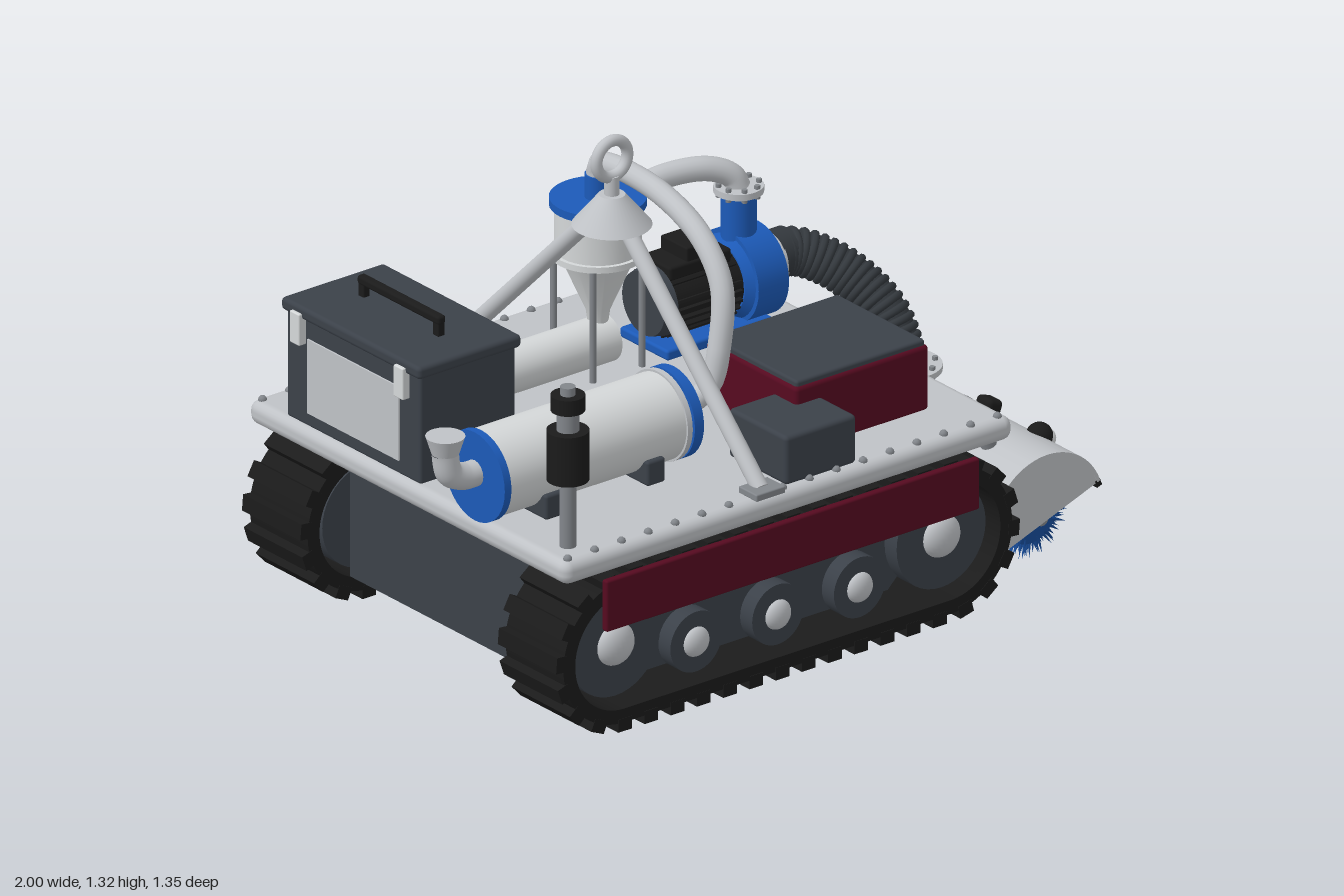
import * as THREE from 'three';
import { mergeGeometries, toCreasedNormals } from 'three/addons/utils/BufferGeometryUtils.js';
import { RoundedBoxGeometry } from 'three/addons/geometries/RoundedBoxGeometry.js';

const mat = (name, color) => Object.assign(new THREE.MeshStandardMaterial({ color }), { name });
const V = (x, y, z) => new THREE.Vector3(x, y, z);
const PI = Math.PI;

export function createModel() {
  const root = new THREE.Group();
  root.name = 'trackedCleaningRobot';
  const silver = mat('silver', 0xbfc2c6), pale = mat('paleMetal', 0xd4d7d8), steel = mat('steelGrey', 0x82868b);
  const slate = mat('slate', 0x3b4149), rubber = mat('hoseRubber', 0x33383d), black = mat('black', 0x1b1b1b);
  const red = mat('darkRed', 0x560a20), blue = mat('blue', 0x1c5ab8), bristleBlue = mat('bristleBlue', 0x174c9a);

  const add = (name, geo, m, x = 0, y = 0, z = 0, parent = root) => {
    const mesh = new THREE.Mesh(geo, m);
    mesh.name = name;
    mesh.position.set(x, y, z);
    parent.add(mesh);
    return mesh;
  };
  // box given by its limits
  const box = (name, m, x0, x1, y0, y1, z0, z1, r = 0.008, parent = root) =>
    add(name, r ? new RoundedBoxGeometry(x1 - x0, y1 - y0, z1 - z0, 2, r) : new THREE.BoxGeometry(x1 - x0, y1 - y0, z1 - z0),
      m, (x0 + x1) / 2, (y0 + y1) / 2, (z0 + z1) / 2, parent);
  const cyl = (name, m, r0, r1, h, x, y, z, axis = 'y', parent = root) => {
    const g = new THREE.CylinderGeometry(r1, r0, h, 40);
    if (axis === 'x') g.rotateZ(-PI / 2);
    if (axis === 'z') g.rotateX(PI / 2);
    return add(name, g, m, x, y, z, parent);
  };
  const tube = (name, m, r, pts) =>
    add(name, new THREE.TubeGeometry(new THREE.CatmullRomCurve3(pts), 48, r, 16), m);
  const rod = (name, m, r, a, b) => {
    const mesh = cyl(name, m, r, r, a.distanceTo(b), 0, 0, 0);
    mesh.position.copy(a).lerp(b, 0.5);
    mesh.quaternion.setFromUnitVectors(V(0, 1, 0), b.clone().sub(a).normalize());
  };
  // disc flange with n bolts
  const flange = (name, m, r, t, n, x, y, z, axis = 'y') => {
    const g = new THREE.Group();
    g.name = name;
    cyl(name + 'Disc', m, r, r, t, 0, 0, 0, 'y', g);
    for (let i = 0; i < n; i++) {
      const a = (i + 0.5) / n * 2 * PI;
      add(name + 'Bolt', new THREE.CylinderGeometry(0.008, 0.008, t + 0.02, 6), steel,
        Math.cos(a) * r * 0.83, 0, Math.sin(a) * r * 0.83, g);
    }
    if (axis === 'x') g.rotation.z = -PI / 2;
    g.position.set(x, y, z);
    root.add(g);
  };
  const extrude = (shape, depth) => toCreasedNormals(
    new THREE.ExtrudeGeometry(shape, { depth, bevelEnabled: false, curveSegments: 32 }).translate(0, 0, -depth / 2), 0.6);

  // hull and deck
  box('hull', slate, -0.7, 0.56, 0.075, 0.47, -0.415, 0.415, 0);
  box('deck', silver, -0.845, 0.64, 0.465, 0.532, -0.66, 0.66, 0.028);
  for (const s of [-1, 1]) for (let i = 0; i < 17; i++)
    add('deckBolt', new THREE.SphereGeometry(0.012, 10, 6), steel, -0.815 + i * 0.0887, 0.532, s * 0.632);

  // tracks
  const XA = -0.64, XB = 0.436, YC = 0.228;
  const stadium = (T, r) => {
    const p = new T();
    p.absarc(XB, YC, r, -PI / 2, PI / 2, false);
    p.absarc(XA, YC, r, PI / 2, PI * 1.5, false);
    p.closePath();
    return p;
  };
  const band = stadium(THREE.Shape, 0.203);
  band.holes.push(stadium(THREE.Path, 0.164));
  const bandGeo = extrude(band, 0.24);
  const L = XB - XA, R = 0.209, perimeter = 2 * L + 2 * PI * R, lugs = [], COUNT = 40;
  for (let i = 0; i < COUNT; i++) {
    let d = i / COUNT * perimeter, x, y, a;
    if (d < L) { x = XA + d; y = YC - R; a = 0; }
    else if (d < L + PI * R) { a = (d - L) / R; x = XB + R * Math.sin(a); y = YC - R * Math.cos(a); }
    else if (d < 2 * L + PI * R) { x = XB - (d - L - PI * R); y = YC + R; a = PI; }
    else { a = PI + (d - 2 * L - PI * R) / R; x = XA + R * Math.sin(a); y = YC - R * Math.cos(a); }
    lugs.push(new THREE.BoxGeometry(0.045, 0.036, 0.242).rotateZ(a).translate(x, y, 0));
  }
  const lugGeo = mergeGeometries(lugs);
  const frame = new THREE.Shape([[-0.62, 0.38], [0.4, 0.38], [0.4, 0.2], [0.3, 0.1], [-0.5, 0.1], [-0.62, 0.2]]
    .map(p => new THREE.Vector2(...p)));
  for (const s of [-1, 1]) {
    const g = new THREE.Group();
    g.name = s > 0 ? 'leftTrack' : 'rightTrack';
    root.add(g);
    add('trackBand', bandGeo, black, 0, 0, s * 0.53, g);
    add('trackLugs', lugGeo, black, 0, 0, s * 0.53, g);
    add('trackFrame', extrude(frame, 0.14), slate, 0, 0, s * 0.49, g);
    const wheels = [[XA, YC + 0.005, 0.147, 0.06], [XB, YC + 0.005, 0.147, 0.06],
      ...[-0.373, -0.103, 0.167].map(x => [x, 0.163, 0.085, 0.042])];
    for (const [x, y, r, hub] of wheels) {
      cyl('wheel', slate, r, r, 0.19, x, y, s * 0.515, 'z', g);
      add('wheelHub', new THREE.SphereGeometry(hub, 24, 16), silver, x, y, s * 0.607, g).scale.z = 0.6;
    }
    box('sidePanel', red, -0.72, 0.512, 0.31, 0.455, s * 0.665 - 0.011, s * 0.665 + 0.011, 0.006);
  }

  // brush: core and radial bristles
  const BX = 0.82, BY = 0.147;
  cyl('brushCore', bristleBlue, 0.085, 0.085, 1.0, BX, BY, 0, 'z');
  cyl('brushAxle', steel, 0.018, 0.018, 1.1, BX, BY, 0, 'z');
  let seed = 7;
  const rnd = () => (seed = (seed * 16807) % 2147483647) / 2147483647;
  const bristles = [];
  for (let i = 0; i < 4600; i++) {
    const len = 0.052 + rnd() * 0.008, a = rnd() * 2 * PI;
    bristles.push(new THREE.ConeGeometry(0.007, len, 4, 1, true).rotateX((rnd() - 0.5) * 0.5)
      .translate(0, 0.068 + len / 2, 0).rotateZ(a).translate(0, 0, (rnd() - 0.5) * 1.01));
  }
  add('brushBristles', mergeGeometries(bristles), bristleBlue, BX, BY - 0.004, 0);

  // brush hood, tilted half cylinder with closed ends
  const hood = new THREE.Group();
  hood.name = 'brushHood';
  hood.position.set(0.823, 0.15, 0);
  hood.rotation.z = 0.35;
  root.add(hood);
  const arc = new THREE.Shape();
  arc.absarc(0, 0, 0.186, 0, PI, false);
  arc.absarc(0, 0, 0.176, PI, 0, true);
  add('hoodShell', extrude(arc, 1.13), silver, 0, 0, 0, hood);
  const half = new THREE.Shape();
  half.absarc(0, 0, 0.184, 0, PI, false);
  for (const s of [-1, 1]) add('hoodEnd', extrude(half, 0.014), silver, 0, 0, s * 0.557, hood);
  box('hoodRubberLip', black, 0.17, 0.187, -0.014, 0.006, -0.565, 0.565, 0, hood);
  for (const s of [-1, 1]) {
    tube('hoodArm', steel, 0.022, [V(0.58, 0.49, s * 0.4), V(0.66, 0.475, s * 0.4), V(0.73, 0.41, s * 0.4), V(0.765, 0.31, s * 0.4)]);
    box('hoodNut', black, 0.86, 0.912, 0.31, 0.365, s * 0.24 - 0.03, s * 0.24 + 0.03, 0.014).rotation.z = -0.36;
    add('lampCover', new THREE.SphereGeometry(0.036, 20, 12), black, 0.928, 0.302, s * 0.4);
    add('lampLens', new THREE.SphereGeometry(0.028, 20, 12), pale, 0.948, 0.289, s * 0.4);
  }

  // suction hose between hood and pump
  cyl('hoseNeck', silver, 0.075, 0.075, 0.06, 0.8, 0.35, 0);
  flange('hoodFlange', silver, 0.1, 0.016, 8, 0.8, 0.392, 0);
  const hosePath = new THREE.CatmullRomCurve3([V(0.56, 0.68, -0.262), V(0.64, 0.675, -0.25), V(0.73, 0.625, -0.17), V(0.785, 0.53, -0.06), V(0.8, 0.395, 0.005)]);
  cyl('hoseCoupling', rubber, 0.066, 0.066, 0.05, 0.593, 0.68, -0.261, 'x');
  add('hose', new THREE.TubeGeometry(hosePath, 48, 0.056, 20), rubber);
  const rings = [];
  for (let i = 1; i < 22; i++) {
    const q = new THREE.Quaternion().setFromUnitVectors(V(0, 0, 1), hosePath.getTangentAt(i / 22));
    const p = hosePath.getPointAt(i / 22);
    rings.push(new THREE.TorusGeometry(0.055, 0.011, 8, 24).applyQuaternion(q).translate(p.x, p.y, p.z));
  }
  add('hoseRibs', mergeGeometries(rings), rubber);

  // pump and motor
  const PZ = -0.265, PY = 0.66;
  box('pumpBase', blue, 0.15, 0.5, 0.53, 0.56, PZ - 0.1, PZ + 0.1);
  cyl('pumpVolute', blue, 0.127, 0.127, 0.1, 0.48, PY, PZ, 'x');
  cyl('pumpFrontCover', blue, 0.115, 0.095, 0.02, 0.54, PY, PZ, 'x');
  cyl('pumpBackCover', blue, 0.095, 0.115, 0.02, 0.42, PY, PZ, 'x');
  cyl('pumpOutlet', blue, 0.047, 0.047, 0.16, 0.465, 0.81, PZ);
  flange('pumpInletFlange', silver, 0.075, 0.022, 8, 0.56, PY + 0.01, PZ, 'x');
  flange('pumpOutletFlange', silver, 0.066, 0.018, 8, 0.465, 0.9, PZ);
  cyl('motor', black, 0.09, 0.09, 0.24, 0.295, PY, PZ, 'x');
  for (let i = 0; i < 24; i++) {
    const fin = add('motorFin', new THREE.BoxGeometry(0.21, 0.02, 0.008).translate(0, 0.093, 0), black, 0.295, PY, PZ);
    fin.rotation.x = i / 24 * 2 * PI;
  }
  cyl('motorFanCover', slate, 0.088, 0.097, 0.04, 0.17, PY, PZ, 'x');
  box('motorTerminalBox', black, 0.19, 0.395, 0.73, 0.77, PZ - 0.06, PZ + 0.06);
  box('motorTerminalLid', black, 0.25, 0.345, 0.765, 0.808, PZ - 0.055, PZ + 0.055, 0.005);
  tube('pumpPipe', silver, 0.033, [V(0.465, 0.9, PZ), V(0.45, 0.935, -0.275), V(0.39, 0.963, -0.3), V(0.28, 0.962, -0.335), V(0.148, 0.935, -0.352)]);
  rod('pumpPipeEnd', silver, 0.033, V(0.144, 0.934, -0.353), V(0.16, 0.938, -0.351));

  // cyclone separator with its inlet, legs and collector
  const profile = [[0.025, 0.64], [0.032, 0.69], [0.1, 0.845], [0.125, 0.845], [0.125, 0.862], [0.114, 0.862], [0.114, 0.985]];
  const cone = new THREE.LatheGeometry(profile.map(p => new THREE.Vector2(...p)), 40);
  add('cycloneBody', toCreasedNormals(cone, 0.5), pale, 0, 0, PZ);
  cyl('cycloneInlet', pale, 0.032, 0.032, 0.1, 0.05, 0.925, -0.35, 'x');
  flange('cycloneInletFlange', silver, 0.047, 0.014, 6, 0.105, 0.925, -0.35, 'x');
  flange('cycloneCap', blue, 0.127, 0.022, 0, 0, 0.998, PZ);
  cyl('cycloneNozzle', blue, 0.035, 0.035, 0.075, 0, 1.037, PZ);
  for (let i = 0; i < 4; i++) {
    const a = PI / 4 + i * PI / 2, x = Math.cos(a) * 0.115, z = PZ + Math.sin(a) * 0.115;
    rod('cycloneLeg', steel, 0.009, V(x, 0.53, z), V(x, 0.85, z));
  }
  cyl('collector', pale, 0.064, 0.064, 0.53, -0.235, 0.6, PZ, 'x');
  flange('collectorFlange', silver, 0.07, 0.02, 8, -0.485, 0.6, PZ, 'x');

  // tank with funnel and return pipe
  const TY = 0.655, TZ = 0.292;
  cyl('tank', pale, 0.119, 0.119, 0.6, -0.53, TY, TZ, 'x');
  flange('tankRearFlange', blue, 0.125, 0.022, 0, -0.84, TY, TZ, 'x');
  flange('tankInnerFlange', silver, 0.125, 0.016, 12, -0.238, TY, TZ, 'x');
  flange('tankFrontFlange', blue, 0.125, 0.03, 0, -0.208, TY, TZ, 'x');
  for (const x of [-0.68, -0.345]) box('tankSaddle', slate, x - 0.03, x + 0.03, 0.53, 0.6, TZ - 0.12, TZ + 0.12);
  tube('drainPipe', silver, 0.036, [V(-0.84, 0.665, TZ), V(-0.89, 0.667, TZ), V(-0.935, 0.69, TZ), V(-0.95, 0.755, TZ)]);
  cyl('drainFunnel', silver, 0.036, 0.052, 0.05, -0.948, 0.773, TZ);
  tube('returnPipe', silver, 0.031, [V(0, 1.06, PZ), V(0, 1.1, -0.26), V(0, 1.118, -0.2), V(0, 1.11, 0), V(-0.01, 1.05, 0.18),
    V(-0.025, 0.95, 0.28), V(-0.06, 0.8, 0.312), V(-0.085, 0.71, 0.31), V(-0.13, 0.67, 0.3), V(-0.21, 0.662, TZ)]);

  // control boxes
  box('controlBox', red, 0.055, 0.495, 0.53, 0.715, 0.11, 0.488, 0.012);
  box('controlBoxLid', slate, 0.063, 0.487, 0.705, 0.73, 0.118, 0.48);
  cyl('controlKnob', black, 0.025, 0.025, 0.035, 0.505, 0.63, 0.2, 'x');
  box('smallBox', slate, -0.092, 0.142, 0.53, 0.668, 0.39, 0.63, 0.012);

  // storage case
  box('storageCase', slate, -0.825, -0.51, 0.53, 0.84, -0.52, 0.035);
  box('storageLid', slate, -0.838, -0.497, 0.832, 0.868, -0.53, 0.045, 0.012);
  box('casePanel', silver, -0.83, -0.822, 0.57, 0.78, -0.43, -0.05, 0);
  for (const z of [-0.46, -0.03]) box('caseLatch', pale, -0.848, -0.82, 0.76, 0.85, z - 0.02, z + 0.02, 0.004);
  box('caseHandle', black, -0.678, -0.652, 0.9, 0.925, -0.415, -0.075);
  for (const z of [-0.4, -0.09]) box('handlePost', black, -0.676, -0.654, 0.865, 0.915, z - 0.012, z + 0.012, 0.004);

  // lifting frame
  const MX = -0.165;
  for (const s of [-1, 1]) {
    rod('liftLeg', silver, 0.023, V(MX, 0.54, s * 0.615), V(MX, 1.12, s * 0.02));
    box('liftFoot', steel, MX - 0.048, MX + 0.048, 0.53, 0.55, s * 0.622 - 0.038, s * 0.622 + 0.038, 0.004);
  }
  cyl('liftCone', silver, 0.105, 0.035, 0.085, MX, 1.115, 0);
  cyl('liftStem', silver, 0.02, 0.02, 0.06, MX, 1.18, 0);
  add('liftRing', new THREE.TorusGeometry(0.051, 0.016, 14, 36), silver, MX, 1.257, 0);

  // beacon post: radius, bottom, top
  for (const [name, m, r, y0, y1] of [['beaconPost', steel, 0.022, 0.53, 0.73], ['beaconBody', black, 0.056, 0.722, 0.862],
    ['beaconNeck', steel, 0.03, 0.862, 0.92], ['beaconCap', black, 0.045, 0.918, 0.962], ['beaconTip', steel, 0.02, 0.962, 0.985]])
    cyl(name, m, r, r, y1 - y0, -0.763, (y0 + y1) / 2, 0.568);
  return root;
}
